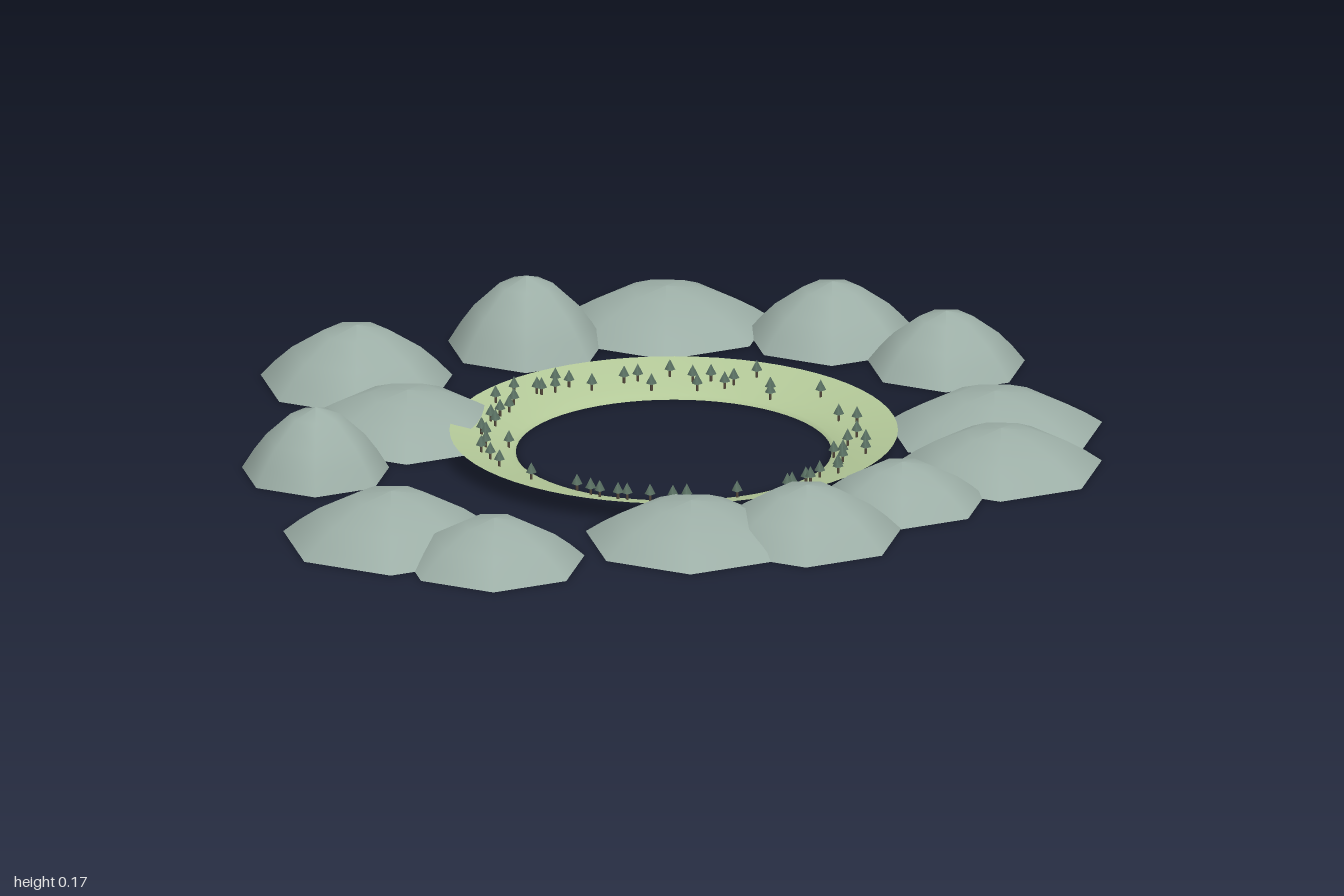
import * as THREE from 'three';

const stone = new THREE.MeshStandardMaterial({ name: 'hillGreyGreen', color: 0x9dafa7, side: THREE.DoubleSide });
const grass = new THREE.MeshStandardMaterial({ name: 'meadowGreen', color: 0xb3c898, side: THREE.DoubleSide });
const needle = new THREE.MeshStandardMaterial({ name: 'treeGreen', color: 0x5c7365 });
const bark = new THREE.MeshStandardMaterial({ name: 'trunkBrown', color: 0x54493c });

const RING_Z = 0.055;

// shore profile as radius, height, from the outer rim down to the inner edge
const SHORE = [[0.49, 0.05], [0.455, 0.041], [0.42, 0.031], [0.38, 0.019], [0.352, 0.008], [0.345, 0]];

// hills as x, z, radius, height
const HILLS = [
  [-0.02, -0.79, 0.234, 0.09], [-0.325, -0.64, 0.175, 0.165], [0.343, -0.705, 0.19, 0.13],
  [0.593, -0.516, 0.176, 0.128], [-0.695, -0.406, 0.215, 0.132], [-0.583, -0.095, 0.24, 0.09],
  [-0.782, 0.198, 0.165, 0.152], [-0.615, 0.64, 0.242, 0.112], [-0.39, 0.79, 0.203, 0.102],
  [0.04, 0.636, 0.236, 0.09], [0.292, 0.613, 0.212, 0.118], [0.5, 0.385, 0.185, 0.092],
  [0.7, -0.093, 0.241, 0.09], [0.715, 0.16, 0.226, 0.092],
];

// trees as x, z pairs in hundredths, around the shore
const TREES = [
  -1, -36, 4, -34, 8, -34, 11, -31, 13, -32, 18, -34, 5, -31, -5, -31, -8, -34, -11, -33,
  -18, -29, -23, -29, -26, -29, -26, -26, -29, -24, -30, -24, -35, -22, -35, -17, -36, -13,
  -39, -16, -38, -10, -40, -6, -39, -4, -42, 3, -41, 5, -41, 11, -36, 6, -42, 16, -40, 20,
  -38, 25, -31, 32, -21, 36, -18, 42, -16, 46, -12, 47, -10, 47, -5, 47, 0, 49, 3, 42,
  14, 44, 25, 41, 26, 40, 29, 35, 30, 36, 32, 30, 36, 30, 36, 27, 37, 19, 42, 17, 37, 14,
  42, 11, 38, 7, 40, 3, 40, -5, 36, -9, 32, -22, 21, -25, 21, -27, 35, 12,
];

// ground height of the shore at a distance from its centre
function shoreHeight(r) {
  for (let i = 1; i < SHORE.length; i++) {
    const [r0, y0] = SHORE[i - 1], [r1, y1] = SHORE[i];
    if (r >= r1) return y1 + (y0 - y1) * (r - r1) / (r0 - r1);
  }
  return 0;
}

function add(parent, name, geometry, material, x = 0, y = 0, z = 0) {
  const mesh = new THREE.Mesh(geometry, material);
  mesh.name = name;
  mesh.position.set(x, y, z);
  parent.add(mesh);
  return mesh;
}

export function createModel() {
  const model = new THREE.Group();
  model.name = 'lakeAndHills';

  // open seven-sided domes
  const dome = new THREE.LatheGeometry(
    [1, 0.84, 0.67, 0.34, 0].map((r) => new THREE.Vector2(r, 1 - Math.pow(r, 1.9))), 7);
  const hills = new THREE.Group();
  hills.name = 'hills';
  for (const [x, z, r, h] of HILLS) add(hills, 'hill', dome, stone, x, 0, z).scale.set(r, h, r);
  model.add(hills);

  // sloping ring of grass
  const ring = new THREE.LatheGeometry(SHORE.map(([r, y]) => new THREE.Vector2(r, y)), 64);
  add(model, 'shore', ring, grass, 0, 0, RING_Z);

  // small conifers on the slope
  const trunk = new THREE.CylinderGeometry(0.003, 0.003, 0.018, 5);
  const crown = new THREE.ConeGeometry(0.012, 0.024, 4);
  const trees = new THREE.Group();
  trees.name = 'trees';
  for (let i = 0; i < TREES.length; i += 2) {
    const x = TREES[i] / 100, z = TREES[i + 1] / 100;
    const tree = new THREE.Group();
    tree.name = 'tree';
    tree.position.set(x, shoreHeight(Math.hypot(x, z - RING_Z)), z);
    add(tree, 'trunk', trunk, bark, 0, 0.008, 0);
    add(tree, 'crown', crown, needle, 0, 0.028, 0);
    trees.add(tree);
  }
  model.add(trees);
  return model;
}
